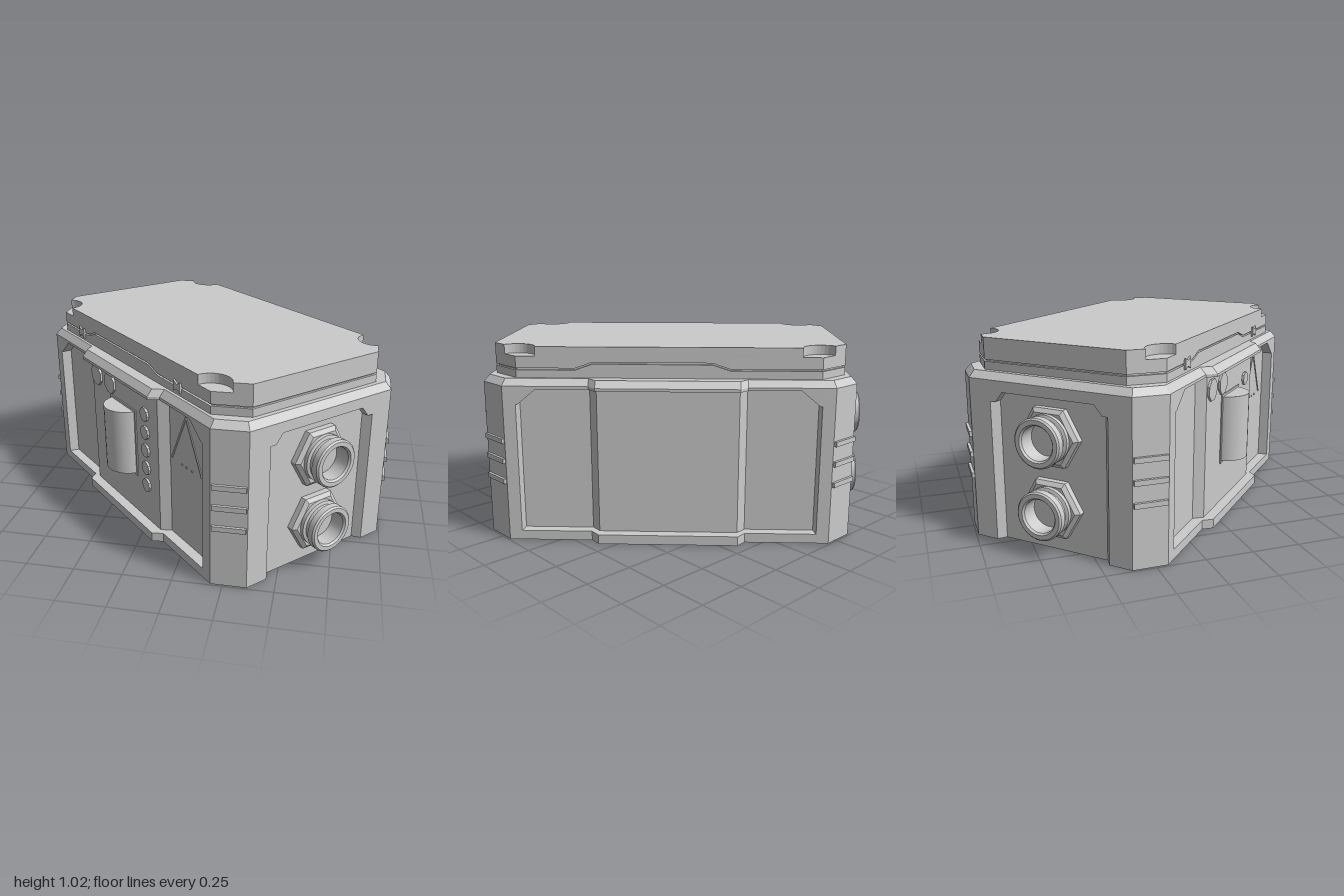
import * as THREE from 'three';

const HU = 0.96, HV = 0.566, C = 0.125;            // half length, half width, corner cut
const BULGE = [[-0.4, 0], [-0.36, 0.047], [0.36, 0.047], [0.4, 0]];
const mat = new THREE.MeshStandardMaterial({ color: 0xcccccc, side: THREE.DoubleSide });
const flat = new THREE.MeshStandardMaterial({ color: 0xcccccc, side: THREE.DoubleSide, flatShading: true });
const V = (x, y, z) => new THREE.Vector3(x, y, z);

function add(parent, name, geo, x = 0, y = 0, z = 0, material = flat) {
  const m = new THREE.Mesh(geo, material);
  m.name = name;
  m.position.set(x, y, z);
  parent.add(m);
  return m;
}

// Surface through rows of points, flat shaded
function grid(rows) {
  const p = [];
  for (let j = 0; j + 1 < rows.length; j++)
    for (let i = 0; i + 1 < rows[j].length; i++) {
      const a = rows[j][i], b = rows[j][i + 1], c = rows[j + 1][i + 1], d = rows[j + 1][i];
      for (const v of [a, b, c, a, c, d]) p.push(v.x, v.y, v.z);
    }
  const g = new THREE.BufferGeometry();
  g.setAttribute('position', new THREE.Float32BufferAttribute(p, 3));
  g.computeVertexNormals();
  return g;
}

// Cut-corner rectangle [x, z], with optional extra points [x, offset] on the long sides
function plan(hu, hv, c, extra = []) {
  const half = [[-hu, hv - c], [c - hu, hv], ...extra.map(([u, o]) => [u, hv + o]), [hu - c, hv], [hu, hv - c]];
  return [...half, ...half.map(([x, z]) => [-x, -z])];
}
const inset = (hu, hv, c, d, extra) => plan(hu - d, hv - d, c - 0.586 * d, extra);
const ring = (pts, y) => [...pts, pts[0]].map(([x, z], i) => V(x, typeof y === 'function' ? y(i % pts.length) : y, z));
const shapeOf = pts => new THREE.Shape(pts.map(([x, z]) => new THREE.Vector2(x, -z)));
const cap = (pts, y) => new THREE.ShapeGeometry(shapeOf(pts)).rotateX(-Math.PI / 2).translate(0, y, 0);

// Wall facing +z with a recessed panel; columns are [x, recessed?, panel top, offset]
function panelWall(cols, dist, low, depth) {
  const row = (y, deep) => cols.map(([x, r, top, o]) => V(x, y === 'top' ? top : y, dist + o - (deep && r ? depth : 0)));
  const rows = [row(low, true), row('top', true), row('top', false), row(0.825, false)];
  if (low > 0) rows.unshift(row(0, false), row(low, false));
  return grid(rows);
}
const mirrorCols = cols => [...cols, ...cols.map(([x, ...rest]) => [-x, ...rest]).reverse()];

function buildBody(g) {
  const long = mirrorCols([[-0.835, 0, 0.73, 0], [-0.77, 0, 0.73, 0], [-0.76, 1, 0.73, 0],
    [-0.665, 1, 0.81, 0], [-0.4, 1, 0.81, 0], [-0.36, 1, 0.81, 0.047]]);
  const short = mirrorCols([[-0.441, 0, 0.72, 0], [-0.32, 0, 0.72, 0], [-0.29, 1, 0.72, 0], [-0.25, 1, 0.77, 0]]);
  for (const k of [0, 1]) {
    add(g, 'longWall', panelWall(long, HV, 0.05, 0.055)).rotation.y = k * Math.PI;
    add(g, 'endWall', panelWall(short, HU, 0, 0.04)).rotation.y = Math.PI / 2 + k * Math.PI;
  }
  // Cut corners with three ribs each
  for (const sx of [1, -1]) for (const sz of [1, -1]) {
    const corner = new THREE.Group();
    corner.name = 'corner';
    corner.position.set(sx * (HU - C / 2), 0, sz * (HV - C / 2));
    corner.rotation.y = Math.atan2(sx, sz);
    g.add(corner);
    const w = C / Math.SQRT2;
    add(corner, 'cornerWall', grid([[V(-w, 0, 0), V(w, 0, 0)], [V(-w, 0.825, 0), V(w, 0.825, 0)]]));
    for (const y of [0.32, 0.43, 0.537]) add(corner, 'cornerRib', new THREE.BoxGeometry(0.165, 0.026, 0.028), 0, y, 0);
  }
  // Sloping shoulder and deck under the lid
  const top = inset(HU, HV, C, 0.03, BULGE);
  add(g, 'shoulder', grid([ring(plan(HU, HV, C, BULGE), 0.825), ring(top, 0.86)]));
  add(g, 'deck', cap(top, 0.86));
}

function buildLid(g) {
  const hu = 0.905, hv = 0.52, c = 0.135;
  const seam = [[-0.47, 0], [-0.385, 0], [0.22, 0], [0.31, 0]];
  const outer = plan(hu, hv, c, seam), inner = inset(hu, hv, c, 0.012, seam);
  // Seam groove steps up in the middle of each long side
  const half = outer.length / 2;
  const at = y => i => y + ([3, 4].includes(i % half) ? 0.03 : 0);
  add(g, 'lidBase', grid([ring(outer, 0.855), ring(outer, at(0.9)), ring(inner, at(0.9)),
    ring(inner, at(0.909)), ring(outer, at(0.909)), ring(outer, 0.97)]));
  add(g, 'lidLedge', cap(outer, 0.97));
  // Upper plate with round screw notches at the corners
  const arc = (x, from) => Array.from({ length: 13 }, (_, i) => {
    const a = from + i / 12 * Math.PI * 0.75;
    return [x + 0.1 * Math.cos(a), hv + 0.1 * Math.sin(a)];
  });
  const side = [[-hu, hv - c], ...arc(c - hu, Math.PI * 1.25), ...arc(hu - c, Math.PI), [hu, hv - c]];
  const plate = [...side, ...side.map(([x, z]) => [-x, -z])];
  add(g, 'lidPlate', new THREE.ExtrudeGeometry(shapeOf(plate), { depth: 0.048, bevelEnabled: false })
    .rotateX(-Math.PI / 2), 0, 0.97, 0);
  // Bow-tie clips across the seam
  const bow = new THREE.Shape([[-0.03, -0.028], [0, -0.014], [0.03, -0.028], [0.03, 0.028], [0, 0.014], [-0.03, 0.028]]
    .map(p => new THREE.Vector2(...p)));
  for (const x of [-0.54, 0.5])
    add(g, 'lidClip', new THREE.ExtrudeGeometry(bow, { depth: 0.018, bevelEnabled: false }), x, 0.905, hv - 0.008);
}

// Threaded cable entry pointing along +z: hexagon nut and hollow collar
function cableGland(parent, y) {
  const gland = new THREE.Group();
  gland.name = 'cableGland';
  gland.position.y = y;
  parent.add(gland);
  const nut = new THREE.CylinderGeometry(0.163, 0.163, 0.035, 6).rotateY(Math.PI / 6).rotateX(Math.PI / 2).rotateZ(0);
  nut.rotateZ(nutTurn(nut));
  add(gland, 'nut', nut, 0, 0, 0.933);
  const bevel = new THREE.CylinderGeometry(0.14, 0.163, 0.015, 6).rotateY(Math.PI / 6).rotateX(Math.PI / 2);
  bevel.rotateZ(nutTurn(bevel));
  add(gland, 'nutBevel', bevel, 0, 0, 0.958);
  const profile = [[0.12, 0.95], [0.12, 0.985], [0.105, 0.99], [0.105, 1.015], [0.122, 1.02], [0.122, 1.052],
    [0.114, 1.06], [0.092, 1.06], [0.084, 1.05], [0.084, 0.97], [0, 0.97]];
  // Repeated profile points keep the edges crisp
  const pts = profile.flatMap(([r, h]) => [new THREE.Vector2(r, h), new THREE.Vector2(r, h)]).slice(1, -1);
  for (let i = 0; i < pts.length; i += 2)
    add(gland, 'collar', new THREE.LatheGeometry([pts[i], pts[i + 1]], 32).rotateX(Math.PI / 2), 0, 0, 0, mat);
}

// Turn that brings a hexagon corner to the horizontal
function nutTurn(geo) {
  const p = geo.attributes.position;
  return -Math.atan2(p.getY(0), p.getX(0));
}

function buildControls(g) {
  const face = HV + 0.047 - 0.055;
  const disc = (name, x, y, r, n) => add(g, name, new THREE.CylinderGeometry(r, r, 0.016, n)
    .rotateY(Math.PI / n).rotateX(Math.PI / 2), x, y, face + 0.004);
  for (const x of [-0.295, -0.138]) disc('button', x, 0.725, 0.06, 8);
  for (let i = 0; i < 5; i++) disc('indicator', 0.237, 0.675 - i * 0.1025, 0.038, 10);
  // Drum display with a thin surround
  add(g, 'drum', new THREE.CylinderGeometry(0.128, 0.128, 0.36, 32), 0, 0.468, 0.534, mat);
  for (const s of [-1, 1]) {
    add(g, 'drumFrameSide', new THREE.BoxGeometry(0.012, 0.384, 0.012), s * 0.132, 0.468, face);
    add(g, 'drumFrameEnd', new THREE.BoxGeometry(0.276, 0.012, 0.012), 0, 0.468 + s * 0.186, face);
  }
  // Warning triangle: two strokes and a dotted base
  const z = HV - 0.055;
  for (const s of [-1, 1])
    add(g, 'triangleStroke', new THREE.BoxGeometry(0.01, 0.298, 0.008), 0.552 + s * 0.067, 0.627, z)
      .rotation.z = s * Math.atan2(0.134, 0.265);
  for (const x of [-0.04, 0, 0.05])
    add(g, 'triangleDot', new THREE.BoxGeometry(0.012, 0.008, 0.008), 0.552 + x, 0.492, z);
}

export function createModel() {
  const model = new THREE.Group();
  model.name = 'junctionBox';
  const box = new THREE.Group();
  box.name = 'enclosure';
  box.rotation.y = -Math.PI / 4;
  model.add(box);
  buildBody(box);
  buildLid(box);
  buildControls(box);
  for (const s of [1, -1]) {
    const end = new THREE.Group();
    end.name = 'cableEntries';
    end.rotation.y = s * Math.PI / 2;
    box.add(end);
    for (const y of [0.22, 0.578]) cableGland(end, y);
  }
  return model;
}
